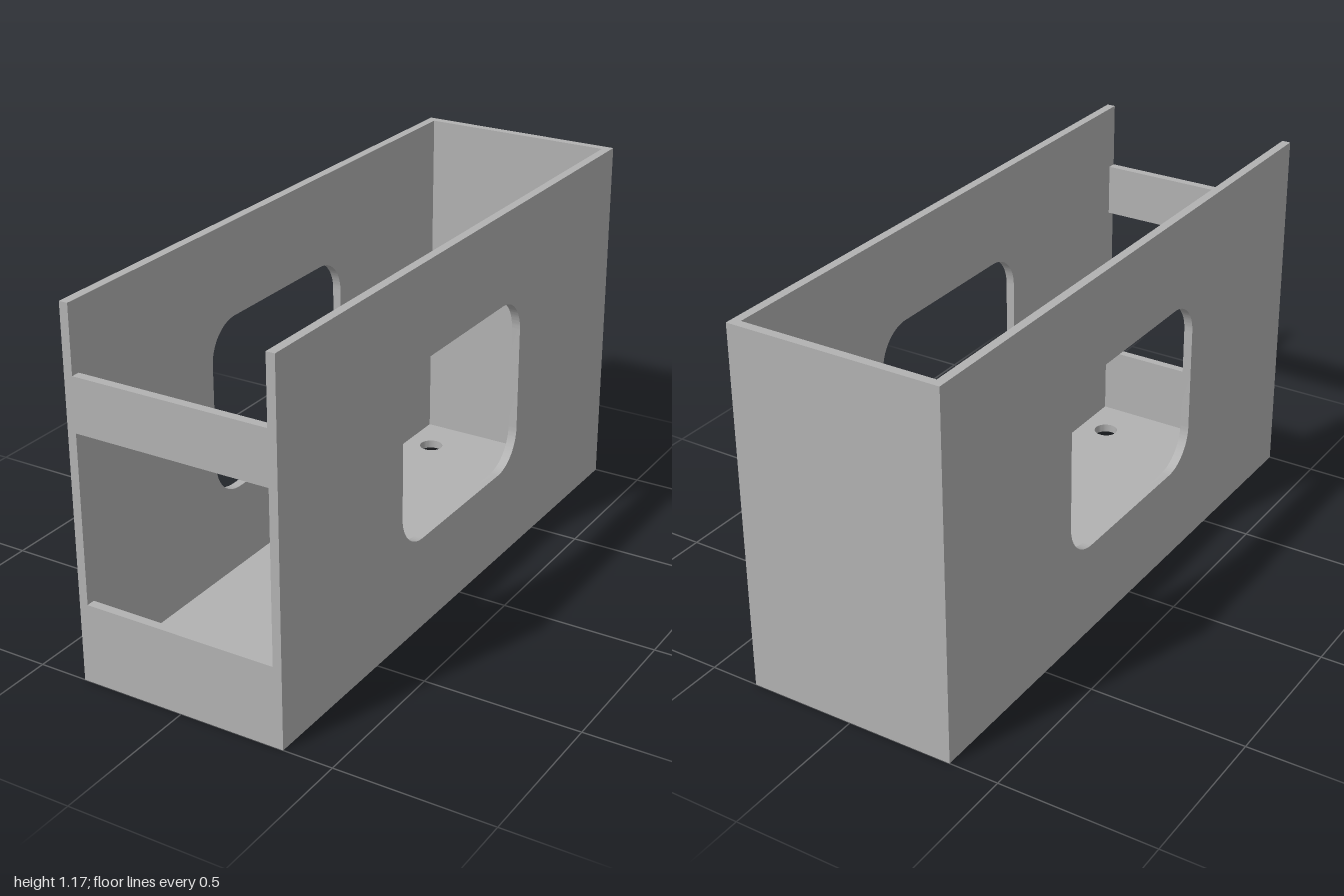
import * as THREE from 'three';
import { toCreasedNormals } from 'three/addons/utils/BufferGeometryUtils.js';

const W = 0.684, H = 1.175, D = 2, T = 0.028;
const INNER = W - 2 * T;

// Closed rectangle centred on x, standing on y0
function rect(path, w, y0, y1) {
  path.moveTo(-w / 2, y0);
  path.lineTo(w / 2, y0);
  path.lineTo(w / 2, y1);
  path.lineTo(-w / 2, y1);
  path.closePath();
  return path;
}

// Rectangular hole with rounded corners
function roundedHole(w, y0, y1, r) {
  const p = new THREE.Path(), x = w / 2;
  p.absarc(x - r, y0 + r, r, -Math.PI / 2, 0);
  p.absarc(x - r, y1 - r, r, 0, Math.PI / 2);
  p.absarc(-x + r, y1 - r, r, Math.PI / 2, Math.PI);
  p.absarc(-x + r, y0 + r, r, Math.PI, Math.PI * 1.5);
  p.closePath();
  return p;
}

function plate(shape) {
  const g = new THREE.ExtrudeGeometry(shape, { depth: T, bevelEnabled: false, curveSegments: 16 });
  return toCreasedNormals(g, 0.6);
}

export function createModel() {
  const group = new THREE.Group();
  const grey = new THREE.MeshStandardMaterial({ color: 0xb2b2b2 });
  grey.name = 'grey';

  const add = (name, geometry, x, y, z) => {
    const mesh = new THREE.Mesh(geometry, grey);
    mesh.name = name;
    mesh.position.set(x, y, z);
    group.add(mesh);
  };

  // Side walls with rounded windows
  const side = rect(new THREE.Shape(), D, 0, H);
  side.holes.push(roundedHole(0.72, 0.303, 0.877, 0.12));
  const sideGeometry = plate(side).rotateY(Math.PI / 2);
  add('leftWall', sideGeometry, W / 2 - T, 0, 0);
  add('rightWall', sideGeometry, -W / 2, 0, 0);

  // Floor with four screw holes
  const floor = rect(new THREE.Shape(), INNER, -D / 2 + T, D / 2 - T);
  for (const x of [-0.222, 0.222]) {
    for (const z of [-0.82, 0.82]) {
      floor.holes.push(new THREE.Path().absarc(x, z, 0.04, 0, Math.PI * 2));
    }
  }
  add('floor', plate(floor).rotateX(-Math.PI / 2), 0, 0, 0);

  // Back wall, front lip and front crossbar between the sides
  const panel = (name, y0, y1, z) =>
    add(name, new THREE.BoxGeometry(INNER, y1 - y0, T), 0, (y0 + y1) / 2, z);
  panel('backWall', 0, H, -D / 2 + T / 2);
  panel('frontLip', 0, 0.257, D / 2 - T / 2);
  panel('frontCrossbar', 0.794, 0.964, D / 2 - T / 2);

  return group;
}
